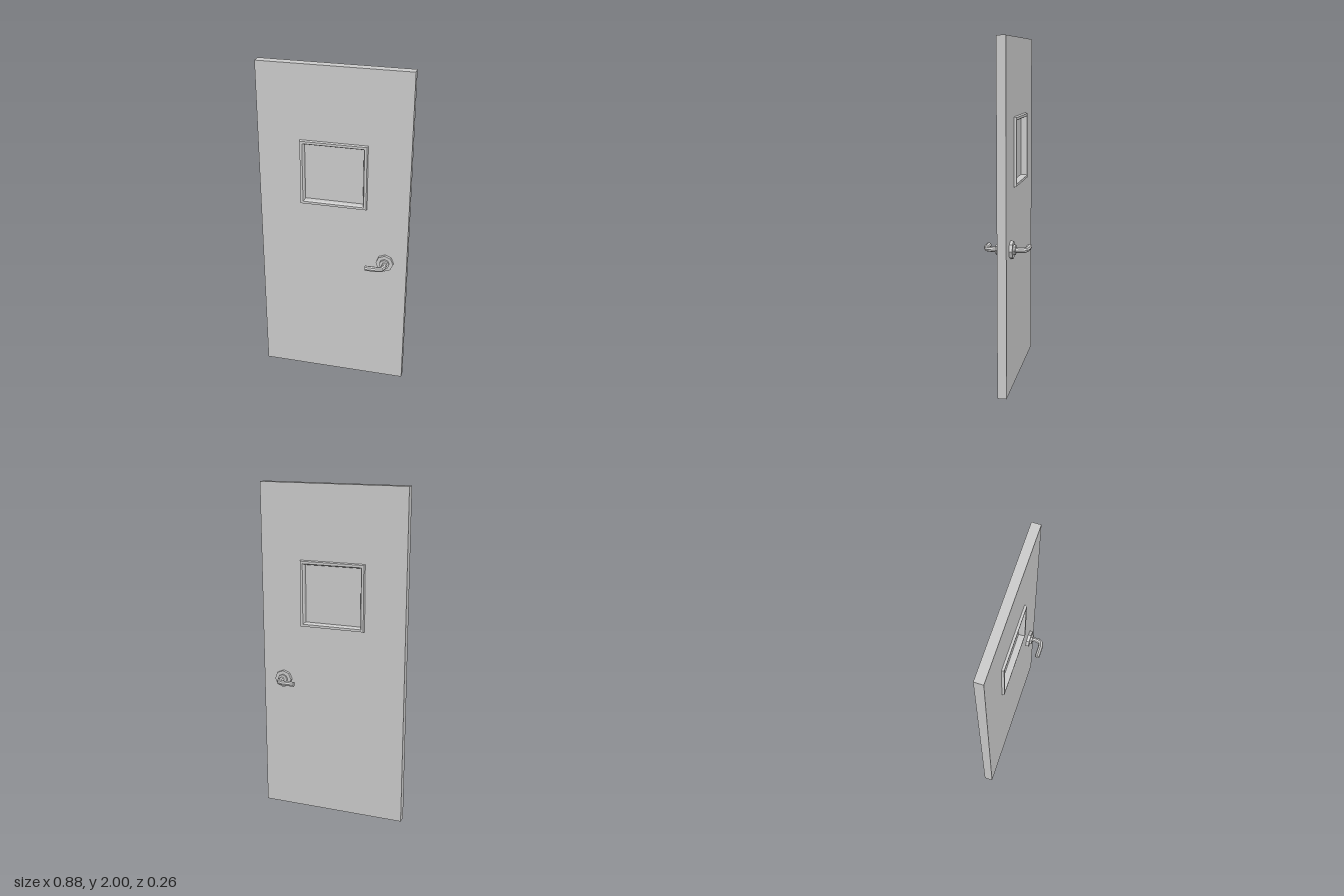
import * as THREE from 'three';

const material = new THREE.MeshStandardMaterial({ color: 0xcccccc, flatShading: true });
const WINDOW_Y = 1.363;

function part(name, geometry, parent) {
  const mesh = new THREE.Mesh(geometry, material);
  mesh.name = name;
  parent.add(mesh);
  return mesh;
}

// Counter-clockwise rectangle outline
function rectangle(PathType, x, y0, y1) {
  return new PathType([[-x, y0], [x, y0], [x, y1], [-x, y1]].map(p => new THREE.Vector2(...p)));
}

// Polyline whose corners become the rings of a tube
class BentPath extends THREE.Curve {
  constructor(points) {
    super();
    this.points = points;
  }
  getPointAt(u, target = new THREE.Vector3()) {
    return target.copy(this.points[Math.round(u * (this.points.length - 1))]);
  }
  getTangentAt(u, target = new THREE.Vector3()) {
    const p = this.points, last = p.length - 1, i = Math.round(u * last);
    const before = p[i].clone().sub(p[Math.max(i - 1, 0)]).normalize();
    const after = p[Math.min(i + 1, last)].clone().sub(p[i]).normalize();
    return target.copy(before.add(after).normalize());
  }
}

// Octagonal rose, collar and bent lever, facing +z
function createHandle(name) {
  const handle = new THREE.Group();
  handle.name = name;
  for (const [label, radius, z0, z1] of [['rose', 0.052, 0.02, 0.044], ['collar', 0.03, 0.04, 0.056]]) {
    const disc = part(label, new THREE.CylinderGeometry(radius, radius, z1 - z0, 8), handle);
    disc.rotation.x = Math.PI / 2;
    disc.position.z = (z0 + z1) / 2;
  }
  const points = [[0.003, 0.04], [0.003, 0.09], [-0.006, 0.11], [-0.032, 0.117], [-0.102, 0.117]]
    .map(([x, z]) => new THREE.Vector3(x, 0, z));
  part('lever', new THREE.TubeGeometry(new BentPath(points), points.length - 1, 0.0152, 8), handle);
  const end = part('leverEnd', new THREE.CircleGeometry(0.0152, 8), handle);
  end.rotation.y = -Math.PI / 2;
  end.position.copy(points[points.length - 1]);
  return handle;
}

export function createModel() {
  const door = new THREE.Group();
  door.name = 'door';

  // Slab with a window opening
  const outline = rectangle(THREE.Shape, 0.442, 0, 2);
  outline.holes.push(rectangle(THREE.Path, 0.188, WINDOW_Y - 0.188, WINDOW_Y + 0.188));
  const slab = new THREE.ExtrudeGeometry(outline, { depth: 0.052, bevelEnabled: false });
  part('doorSlab', slab.translate(0, 0, -0.026), door);

  // Square frame, bevelled on both faces, made as a four-sided lathe
  const profile = [
    [0.174, 0], [0.174, -0.03], [0.18, -0.04], [0.194, -0.04], [0.198, -0.026],
    [0.198, 0.026], [0.194, 0.04], [0.18, 0.04], [0.174, 0.03], [0.174, 0]
  ].map(([r, z]) => new THREE.Vector2(r * Math.SQRT2, z));
  const frame = part('windowFrame', new THREE.LatheGeometry(profile, 4, Math.PI / 4), door);
  frame.rotation.x = Math.PI / 2;
  frame.position.y = WINDOW_Y;

  // Pane in the middle of the opening
  part('windowPane', new THREE.BoxGeometry(0.36, 0.36, 0.008), door).position.y = WINDOW_Y;

  // One handle on each face, both levers pointing the same way
  const front = createHandle('frontHandle');
  const back = createHandle('backHandle');
  back.rotation.x = Math.PI;
  for (const handle of [front, back]) {
    handle.position.set(0.312, 0.83, 0);
    door.add(handle);
  }
  return door;
}
